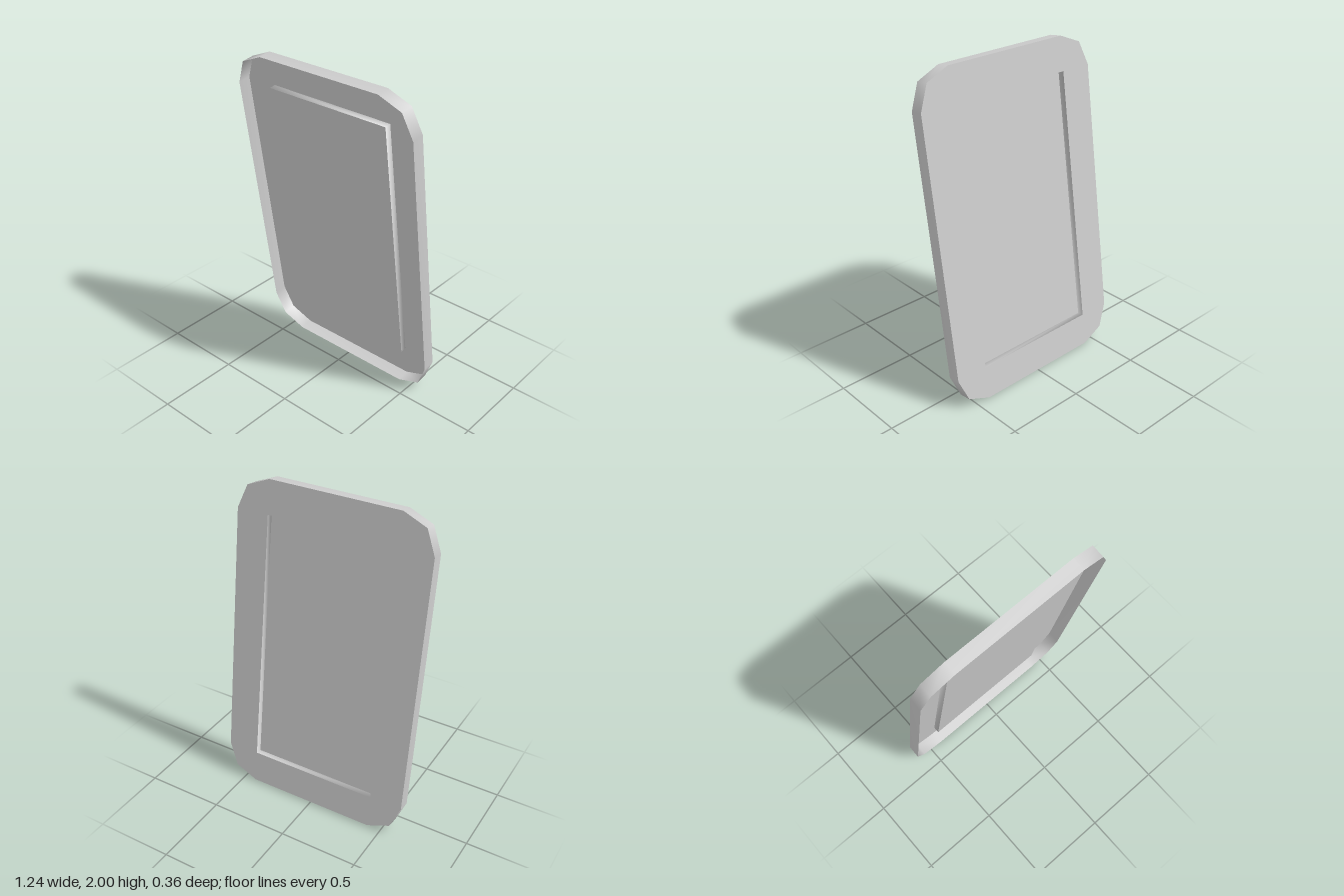
import * as THREE from 'three';

const HALF_W = 0.622, HALF_H = 1.004, RADIUS = 0.207;
const THICK = 0.08, POCKET = 0.04, TILT = THREE.MathUtils.degToRad(8.1);

// Counter-clockwise outline; each corner is a quarter arc of the given steps
function outline(steps) {
  const points = [];
  const cx = HALF_W - RADIUS, cy = HALF_H - RADIUS;
  const corners = [[1, 1], [-1, 1], [-1, -1], [1, -1]];
  corners.forEach(([sx, sy], i) => {
    if (steps === 0) points.push(new THREE.Vector2(sx * cx, sy * cy));
    else for (let k = 0; k <= steps; k++) {
      const a = (i + k / steps) * Math.PI / 2;
      points.push(new THREE.Vector2(sx * cx + RADIUS * Math.cos(a), sy * cy + RADIUS * Math.sin(a)));
    }
  });
  return points;
}

// Closed band of smooth-shaded wall between two depths
function wall(points, z0, z1) {
  const positions = [], index = [], n = points.length;
  points.forEach((p, i) => {
    positions.push(p.x, p.y, z0, p.x, p.y, z1);
    const a = 2 * i, b = 2 * ((i + 1) % n);
    index.push(a, b, b + 1, a, b + 1, a + 1);
  });
  const geometry = new THREE.BufferGeometry();
  geometry.setAttribute('position', new THREE.Float32BufferAttribute(positions, 3));
  geometry.setIndex(index);
  geometry.computeVertexNormals();
  return geometry;
}

export function createModel() {
  const grey = new THREE.MeshStandardMaterial({ color: 0xcccccc, side: THREE.DoubleSide });
  grey.name = 'light grey';

  const panel = new THREE.Group();
  panel.name = 'leaningPanel';
  const add = (name, geometry) => {
    const mesh = new THREE.Mesh(geometry, grey);
    mesh.name = name;
    panel.add(mesh);
    return mesh;
  };

  const rim = outline(2), opening = outline(0);
  const back = -THICK / 2, floor = back + POCKET;

  // Outer rim, open towards the front
  add('rimWall', wall(rim, back, THICK / 2));

  // Back face with a rectangular opening
  const face = new THREE.Shape(rim);
  face.holes.push(new THREE.Path(opening));
  add('backFrame', new THREE.ShapeGeometry(face).rotateY(Math.PI).translate(0, 0, back));

  // Shallow pocket sunk into the back face
  add('pocketWall', wall([...opening].reverse(), back, floor));
  add('pocketFloor', new THREE.ShapeGeometry(new THREE.Shape(opening)).rotateY(Math.PI).translate(0, 0, floor));

  // Lean the top forward and stand it on the ground
  panel.rotation.x = TILT;
  panel.position.y = HALF_H * Math.cos(TILT) + THICK / 2 * Math.sin(TILT);

  const model = new THREE.Group();
  model.name = 'model';
  model.add(panel);
  return model;
}
